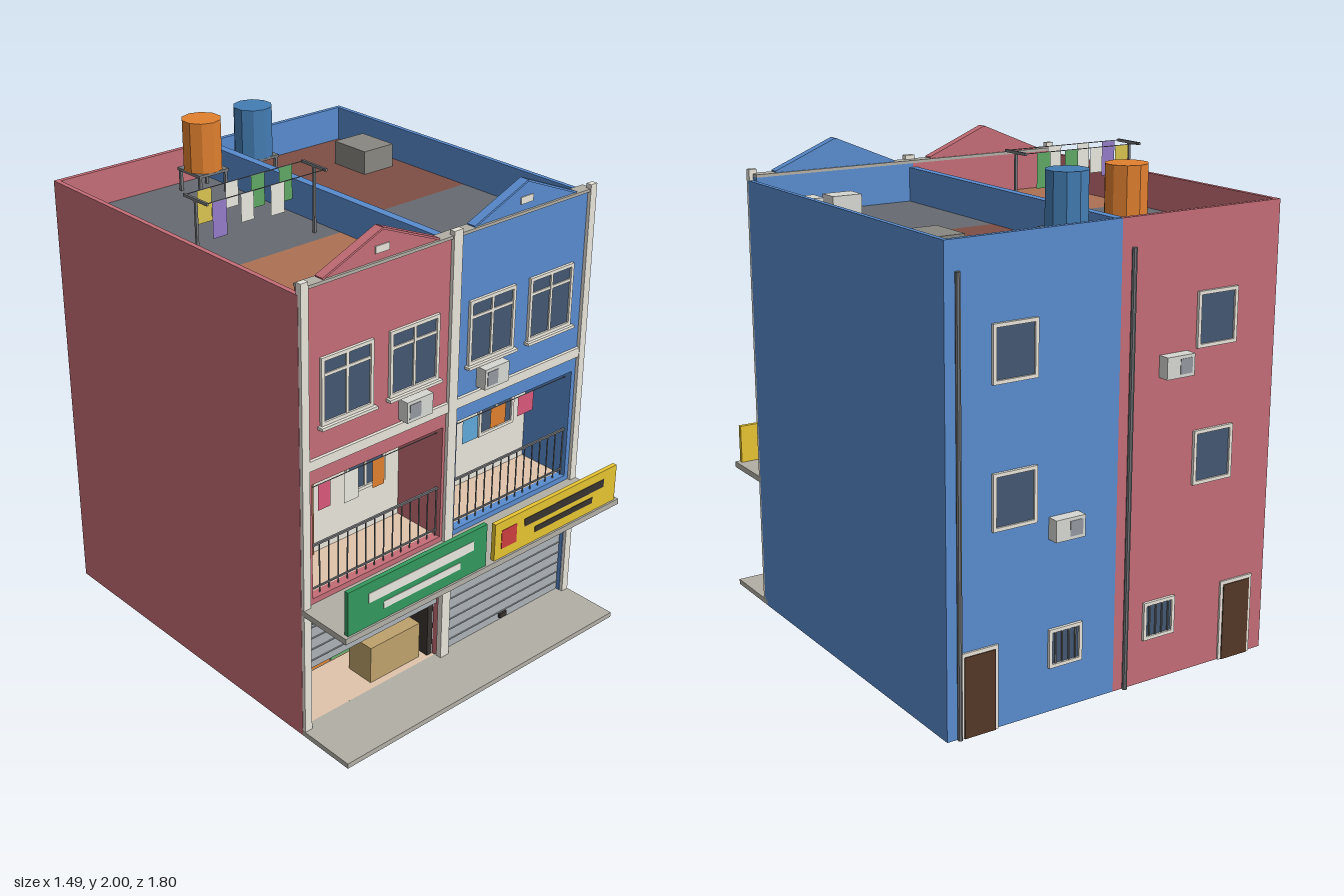
import * as THREE from 'three';

const RED = 0xc46d76, BLUE = 0x588bce, TRIM = 0xe8e4da, CONC = 0xb2afa6, GREY = 0x666b71, DARK = 0x38332f,
  GLASS = 0x435772, BROWN = 0x8a5d40, METAL = 0x75787b, SHUT = 0xacb2b6, AC = 0xd6d8d2, TAN = 0xbea26c,
  ORANGE = 0xe0802f, GREEN = 0x33985d, YELLOW = 0xe6c431, PINK = 0xd8587a, WHITE = 0xe8e8e0, FLOOR = 0xe0c4aa;

const mats = {};
const mat = (c) => (mats[c] ??= new THREE.MeshStandardMaterial({ color: c, flatShading: true }));

function add(parent, name, geo, color) {
  const m = new THREE.Mesh(geo, mat(color));
  m.name = name;
  parent.add(m);
  return m;
}

// Box given by its extents on each axis
function box(p, name, color, x0, x1, y0, y1, z0, z1) {
  const m = add(p, name, new THREE.BoxGeometry(x1 - x0, y1 - y0, z1 - z0), color);
  m.position.set((x0 + x1) / 2, (y0 + y1) / 2, (z0 + z1) / 2);
  return m;
}

function group(parent, name) {
  const g = new THREE.Group();
  g.name = name;
  parent.add(g);
  return g;
}

function rectPath(P, x0, x1, y0, y1) {
  const s = new P();
  s.moveTo(x0, y0); s.lineTo(x1, y0); s.lineTo(x1, y1); s.lineTo(x0, y1); s.closePath();
  return s;
}

// Framed window; z is the wall face and d the outward direction
function windowAt(p, x0, x1, y0, y1, z, d, { bars = 0, barColor = TRIM, barWidth = 0.012, transom } = {}) {
  const g = group(p, 'window'), t = 0.014;
  const slab = (n, c, a, b, e, f, depth) =>
    box(g, n, c, a, b, e, f, Math.min(z - 0.005 * d, z + depth * d), Math.max(z - 0.005 * d, z + depth * d));
  slab('glass', GLASS, x0 + 0.005, x1 - 0.005, y0 + 0.005, y1 - 0.005, 0.004);
  slab('frameLeft', TRIM, x0, x0 + t, y0, y1, 0.012);
  slab('frameRight', TRIM, x1 - t, x1, y0, y1, 0.012);
  slab('frameBottom', TRIM, x0 + t, x1 - t, y0, y0 + t, 0.012);
  slab('frameTop', TRIM, x0 + t, x1 - t, y1 - t, y1, 0.012);
  for (let i = 1; i <= bars; i++) {
    const x = x0 + ((x1 - x0) * i) / (bars + 1);
    slab('bar', barColor, x - barWidth / 2, x + barWidth / 2, y0 + t, y1 - t, 0.01);
  }
  if (transom) {
    slab('transom', TRIM, x0 + t, x1 - t, transom - 0.006, transom + 0.006, 0.009);
    slab('sill', TRIM, x0 - 0.01, x1 + 0.01, y0 - 0.012, y0, 0.025);
  }
}

function airConditioner(p, x0, y0, z, d) {
  const g = group(p, 'airConditioner'), e = z + 0.048 * d, f = z + 0.05 * d;
  box(g, 'housing', AC, x0, x0 + 0.13, y0, y0 + 0.085, Math.min(z, e), Math.max(z, e));
  box(g, 'grille', 0x94979f, x0 + 0.012, x0 + 0.068, y0 + 0.013, y0 + 0.072, Math.min(e, f), Math.max(e, f));
}

// Facade, balcony and parapet of one unit between x0 and x1
function facade(p, name, color, x0, x1) {
  const g = group(p, name), mid = (x0 + x1) / 2;
  const a = mid - 0.325, b = mid + 0.325;
  const wall = rectPath(THREE.Shape, x0, x1, 0.54, 1.85);
  wall.holes.push(rectPath(THREE.Path, a, b, 0.6, 1.085));
  add(g, 'frontWall', new THREE.ExtrudeGeometry(wall, { depth: 0.04, bevelEnabled: false }), color).position.z = 0.6;
  for (const x of [x0, x1 - 0.02]) box(g, 'groundPier', color, x, x + 0.02, 0, 0.54, 0.6, 0.64);
  box(g, 'cornice', CONC, x0, x1, 1.85, 1.862, 0.597, 0.65);

  // Gable with sloping coping and a vent
  const tri = new THREE.Shape([[-0.275, 1.862], [0.275, 1.862], [0, 1.975]].map(([x, y]) => new THREE.Vector2(mid + x, y)));
  add(g, 'gable', new THREE.ExtrudeGeometry(tri, { depth: 0.035, bevelEnabled: false }), color).position.z = 0.605;
  for (const s of [-1, 1]) {
    const c = add(g, 'coping', new THREE.BoxGeometry(0.296, 0.008, 0.04), color);
    c.position.set(mid + s * 0.1375, 1.921, 0.625);
    c.rotation.z = -s * Math.atan2(0.113, 0.275);
  }
  box(g, 'vent', TRIM, mid - 0.033, mid + 0.033, 1.89, 1.918, 0.635, 0.644);

  // Balcony recess
  box(g, 'balconyBack', TRIM, a - 0.02, b + 0.02, 0.58, 1.105, 0.39, 0.4);
  box(g, 'balconyFloor', FLOOR, a - 0.02, b + 0.02, 0.58, 0.6, 0.4, 0.6);
  box(g, 'balconyCeiling', TRIM, a - 0.02, b + 0.02, 1.085, 1.105, 0.4, 0.6);
  box(g, 'balconySide', color, a - 0.02, a, 0.6, 1.085, 0.4, 0.6);
  box(g, 'balconySide', color, b, b + 0.02, 0.6, 1.085, 0.4, 0.6);
  box(g, 'balconyDoor', BROWN, a + 0.05, a + 0.2, 0.6, 1.01, 0.4, 0.412);
  windowAt(g, a + 0.365, a + 0.57, 0.79, 1.02, 0.4, 1, { bars: 1 });

  // Railing
  const rail = group(g, 'railing');
  box(rail, 'topRail', METAL, a, b, 0.81, 0.818, 0.616, 0.625);
  box(rail, 'bottomRail', METAL, a, b, 0.625, 0.631, 0.617, 0.624);
  for (let i = 0; i <= 14; i++) {
    const x = a + 0.004 + i * 0.0458;
    box(rail, 'baluster', METAL, x - 0.002, x + 0.002, 0.6, 0.81, 0.618, 0.622);
  }

  for (const wx of [mid - 0.287, mid + 0.038]) windowAt(g, wx, wx + 0.245, 1.31, 1.575, 0.64, 1, { bars: 1, transom: 1.505 });
}

// Thin cloths hung from a line
function laundry(p, items, top, z) {
  for (const [x, w, h, color] of items) {
    const m = add(p, 'laundry', new THREE.PlaneGeometry(w, h), color);
    m.material = new THREE.MeshStandardMaterial({ color, side: THREE.DoubleSide });
    m.position.set(x + w / 2, top - h / 2, z);
  }
}

function shutter(p, x0, x1, y0, y1) {
  const g = group(p, 'rollerShutter');
  box(g, 'sheet', SHUT, x0, x1, y0, y1, 0.608, 0.622);
  for (let y = y1 - 0.05; y > y0 + 0.01; y -= 0.05) box(g, 'slatRib', SHUT, x0, x1, y - 0.002, y + 0.002, 0.622, 0.626);
  box(g, 'shutterBox', SHUT, x0, x1, 0.505, 0.54, 0.6, 0.662);
}

export function createModel() {
  const root = new THREE.Group();
  root.name = 'shophouses';
  const deck = 1.69;

  // Shell: open underneath
  for (const [s, c] of [[-1, RED], [1, BLUE]]) {
    const span = (u, v) => (s > 0 ? [u, v] : [-v, -u]);
    box(root, 'sideWall', c, ...span(0.725, 0.745), 0, 1.835, -0.85, 0.64);
    box(root, 'backWall', c, ...span(0, 0.725), 0, 1.835, -0.85, -0.83);
    const split = s > 0 ? -0.04 : 0.03;
    box(root, 'roofBack', s > 0 ? 0x7e4f45 : GREY, ...span(0, 0.725), deck - 0.02, deck, -0.83, split);
    box(root, 'roofFront', s > 0 ? GREY : 0xac7153, ...span(0, 0.725), deck - 0.02, deck, split, 0.6);
  }
  box(root, 'roofPartyWall', BLUE, -0.018, 0.018, deck, 1.833, -0.83, 0.6);
  facade(root, 'redFacade', RED, -0.727, 0);
  facade(root, 'blueFacade', BLUE, 0, 0.727);

  // Pillars, floor band, canopy and pavement
  for (const [a, b] of [[-0.744, -0.71], [-0.025, 0.02], [0.71, 0.744]])
    box(root, 'pillar', TRIM, a, b, 0, 1.88, 0.63, 0.655);
  box(root, 'floorBand', TRIM, -0.74, 0.74, 1.15, 1.19, 0.635, 0.653);
  box(root, 'canopy', CONC, -0.745, 0.745, 0.552, 0.577, 0.635, 0.887);
  box(root, 'pavement', CONC, -0.745, 0.745, 0, 0.022, 0.62, 0.9);

  // Sign boards with plain blocks
  box(root, 'greenSign', GREEN, -0.728, -0.024, 0.577, 0.763, 0.86, 0.879);
  box(root, 'yellowSign', YELLOW, 0.022, 0.726, 0.577, 0.74, 0.86, 0.879);
  for (const [c, ...e] of [[WHITE, -0.63, -0.095, 0.677, 0.718], [WHITE, -0.555, -0.165, 0.622, 0.652],
    [0xcc3e3e, 0.058, 0.142, 0.618, 0.7], [DARK, 0.185, 0.65, 0.667, 0.702], [DARK, 0.247, 0.585, 0.617, 0.643]])
    box(root, 'signBlock', c, ...e, 0.878, 0.881);

  // Ground floor: half-open shop and closed shutter
  shutter(root, -0.71, -0.025, 0.275, 0.51);
  shutter(root, 0.02, 0.71, 0.022, 0.51);
  box(root, 'shutterHandle', DARK, 0.345, 0.385, 0.036, 0.056, 0.622, 0.634);
  const shop = group(root, 'shop');
  box(shop, 'shopFloor', FLOOR, -0.715, -0.025, 0.002, 0.022, 0.3, 0.62);
  box(shop, 'shopBack', DARK, -0.715, -0.025, 0.002, 0.5, 0.29, 0.3);
  box(shop, 'shopCeiling', 0x8a7a66, -0.715, -0.025, 0.49, 0.505, 0.29, 0.607);
  for (const x of [-0.715, -0.045]) box(shop, 'shopSide', 0x6f6255, x, x + 0.02, 0.022, 0.49, 0.3, 0.6);
  for (const x of [-0.711, -0.055]) box(shop, 'jamb', DARK, x, x + 0.027, 0.022, 0.28, 0.302, 0.606);
  box(shop, 'shelfPanel', 0xae9474, -0.684, -0.055, 0.022, 0.48, 0.3, 0.31);
  for (const y of [0.064, 0.169]) box(shop, 'shelf', 0xae9474, -0.684, -0.055, y, y + 0.006, 0.31, 0.42);
  for (const [c, a, b, y] of [[0x4290d4, -0.675, -0.475, 0.175], [ORANGE, -0.465, -0.25, 0.175], [0xb45ca6, -0.24, -0.068, 0.175],
    [ORANGE, -0.675, -0.545, 0.07], [ORANGE, -0.535, -0.42, 0.07], [0x5fae69, -0.41, -0.27, 0.07]])
    box(shop, 'goods', c, a, b, y, y + 0.063, 0.33, 0.42);
  box(shop, 'counter', TAN, -0.35, -0.085, 0.022, 0.187, 0.46, 0.59);

  // Balcony washing lines
  for (const x of [-0.69, 0.04]) box(root, 'washingLine', METAL, x, x + 0.65, 1.05, 1.053, 0.609, 0.611);
  laundry(root, [[-0.635, 0.06, 0.107, PINK], [-0.51, 0.07, 0.125, WHITE], [-0.37, 0.06, 0.115, ORANGE],
    [0.1, 0.085, 0.1, 0x5fa8d8], [0.255, 0.085, 0.085, ORANGE], [0.41, 0.09, 0.085, PINK]], 1.05, 0.61);

  // Air conditioners, front and back
  airConditioner(root, -0.272, 1.203, 0.64, 1);
  airConditioner(root, 0.133, 1.203, 0.64, 1);
  airConditioner(root, -0.313, 1.222, -0.85, -1);
  airConditioner(root, 0.178, 0.69, -0.85, -1);

  // Rear windows, doors and drainpipes
  for (const [a, s, door] of [[0.365, 0.157, 0.53], [-0.545, -0.285, -0.68]]) {
    for (const y of [1.31, 0.77]) windowAt(root, a, a + 0.19, y, y + 0.217, -0.85, -1);
    windowAt(root, s, s + 0.15, 0.18, 0.335, -0.85, -1, { bars: 4, barColor: METAL, barWidth: 0.005 });
    box(root, 'doorFrame', TRIM, door, door + 0.16, 0, 0.335, -0.858, -0.845);
    box(root, 'backDoor', 0x533828, door + 0.014, door + 0.146, 0, 0.32, -0.862, -0.85);
  }
  for (const x of [-0.05, 0.695])
    add(root, 'drainpipe', new THREE.CylinderGeometry(0.01, 0.01, 1.725, 8), METAL).position.set(x, 0.8625, -0.858);

  // Water tanks on stands
  for (const [x, c] of [[-0.135, ORANGE], [0.13, 0x447db4]]) {
    const g = group(root, 'waterTank');
    g.position.set(x, 0, -0.69);
    add(g, 'tank', new THREE.CylinderGeometry(0.082, 0.082, 0.21, 10), c).position.y = 1.895;
    box(g, 'platform', METAL, -0.075, 0.075, 1.778, 1.79, -0.075, 0.075);
    for (const i of [-1, 1]) for (const k of [-1, 1])
      box(g, 'leg', METAL, i * 0.065 - 0.006, i * 0.065 + 0.006, deck, 1.78, k * 0.065 - 0.006, k * 0.065 + 0.006);
  }

  // Roof drying rack
  const rack = group(root, 'dryingRack');
  for (const x of [-0.655, -0.095]) {
    box(rack, 'post', METAL, x - 0.005, x + 0.005, deck, 1.96, -0.04, -0.03);
    box(rack, 'crossbar', METAL, x - 0.005, x + 0.005, 1.957, 1.968, -0.105, 0.036);
  }
  for (const z of [-0.1, 0.03]) box(rack, 'line', METAL, -0.655, -0.095, 1.962, 1.965, z - 0.0015, z + 0.0015);
  laundry(rack, [[-0.63, 0.065, 0.14, 0x947bc8], [-0.5, 0.06, 0.11, WHITE], [-0.36, 0.065, 0.12, WHITE]], 1.963, 0.03);
  laundry(rack, [[-0.6, 0.065, 0.13, 0xd8c44f], [-0.47, 0.06, 0.1, WHITE], [-0.35, 0.065, 0.13, 0x60a864],
    [-0.215, 0.065, 0.14, 0x60a864]], 1.963, -0.1);

  // Roof equipment
  for (const x of [0.36, 0.53]) box(root, 'roofUnit', AC, x, x + 0.13, deck, 1.78, 0.4, 0.49);
  box(root, 'roofHatch', 0x898781, 0.495, 0.655, deck, 1.79, -0.59, -0.4);
  return root;
}
